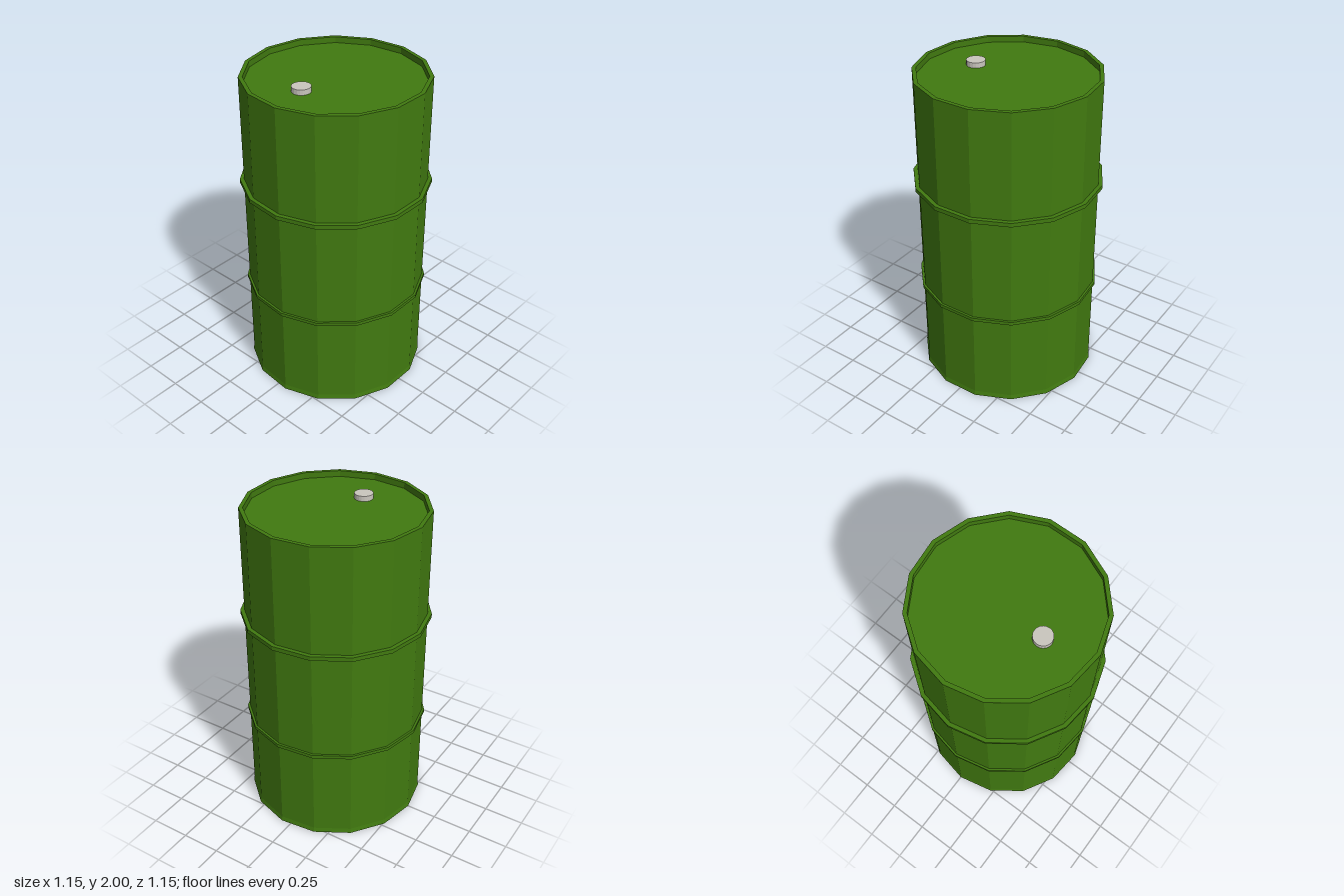
import * as THREE from 'three';

const SIDES = 15;

export function createModel() {
  const group = new THREE.Group();
  const green = new THREE.MeshStandardMaterial({ color: 0x417a10, flatShading: true });
  const grey = new THREE.MeshStandardMaterial({ color: 0xcac6be, flatShading: true });

  // Fifteen-sided turned part with one corner pointing straight back
  const turn = (name, profile) => {
    const points = profile.map(([r, y]) => new THREE.Vector2(r, y));
    const mesh = new THREE.Mesh(new THREE.LatheGeometry(points, SIDES, Math.PI), green);
    mesh.name = name;
    mesh.position.z = 0.006;
    group.add(mesh);
  };

  // Drum wall with flared foot, raised rim and sunken lid
  turn('drumBody', [
    [0, 0], [0.562, 0], [0.557, 0.03], [0.554, 2],
    [0.529, 2], [0.529, 1.963], [0, 1.963],
  ]);

  // Hoops around the wall
  const hoop = (name, radius, y0, y1) =>
    turn(name, [[0.55, y0], [radius, y0], [radius, y1], [0.55, y1]]);
  hoop('lowerHoop', 0.57, 0.607, 0.629);
  hoop('upperHoop', 0.58, 1.312, 1.338);

  // Filler cap on the lid
  const cap = new THREE.Mesh(new THREE.CylinderGeometry(0.057, 0.057, 0.034, 20), grey);
  cap.name = 'fillerCap';
  cap.position.set(-0.251, 1.978, -0.027);
  group.add(cap);

  return group;
}
